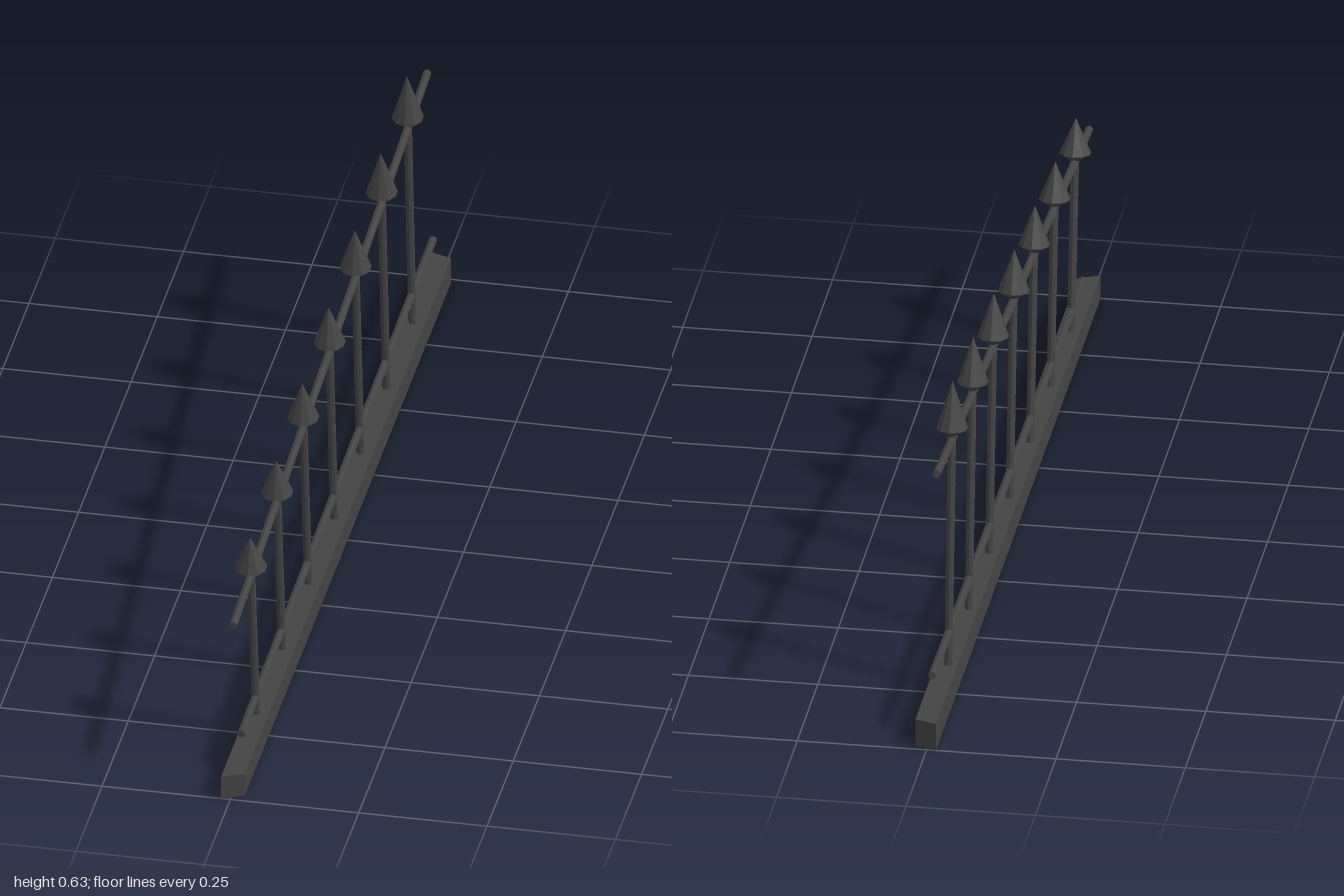
import * as THREE from 'three';

const material = new THREE.MeshStandardMaterial({ color: 0x444444, flatShading: true });
const UP = new THREE.Vector3(0, 1, 0);

// Round bar between two points in the x = 0 plane, given as [y, z]
function bar(name, a, b, radius) {
  const p = new THREE.Vector3(0, ...a), q = new THREE.Vector3(0, ...b);
  const dir = q.clone().sub(p);
  const mesh = new THREE.Mesh(new THREE.CylinderGeometry(radius, radius, dir.length(), 8), material);
  mesh.name = name;
  mesh.position.copy(p).add(q).multiplyScalar(0.5);
  mesh.quaternion.setFromUnitVectors(UP, dir.normalize());
  return mesh;
}

// Kerb: slightly rising top and ends cut at a small angle
function kerb() {
  const geo = new THREE.BoxGeometry(1, 1, 1);
  const pos = geo.attributes.position;
  for (let i = 0; i < pos.count; i++) {
    const right = pos.getX(i) < 0, top = pos.getY(i) > 0, front = pos.getZ(i) > 0;
    pos.setXYZ(i,
      right ? -0.018 : 0.024,
      top ? (front ? 0.049 : 0.056) : 0,
      front ? (right ? 1 : 0.98) : (right ? -1 : -0.985));
  }
  geo.computeVertexNormals();
  const mesh = new THREE.Mesh(geo, material);
  mesh.name = 'kerb';
  return mesh;
}

// Spear head: short flare below, long point above, origin at the widest ring
function spearHead(height) {
  const profile = [[0, -0.014], [0.01, -0.014], [0.031, 0], [0, height]]
    .map(([r, y]) => new THREE.Vector2(r, y));
  const mesh = new THREE.Mesh(new THREE.LatheGeometry(profile, 10), material);
  mesh.name = 'spearHead';
  return mesh;
}

export function createModel() {
  const group = new THREE.Group();
  group.name = 'railing';
  group.add(kerb());
  group.add(bar('upperRail', [0.37, 0.973], [0.526, -0.877], 0.008));
  group.add(bar('lowerRail', [0.086, 0.898], [0.125, -0.932], 0.008));

  // Leaning posts, taller toward the back, each with a spear head
  const count = 7;
  for (let i = 0; i < count; i++) {
    const t = i / (count - 1);
    const foot = [0.04, THREE.MathUtils.lerp(0.753, -0.737, t)];
    const head = [THREE.MathUtils.lerp(0.402, 0.535, t), THREE.MathUtils.lerp(0.803, -0.691, t)];
    const post = new THREE.Group();
    post.name = 'post' + (i + 1);
    post.add(bar('shaft', foot, head, 0.008));
    const spear = spearHead(THREE.MathUtils.lerp(0.071, 0.097, t));
    spear.position.set(0, ...head);
    spear.rotation.x = Math.atan2(head[1] - foot[1], head[0] - foot[0]);
    post.add(spear);
    group.add(post);
  }
  return group;
}
